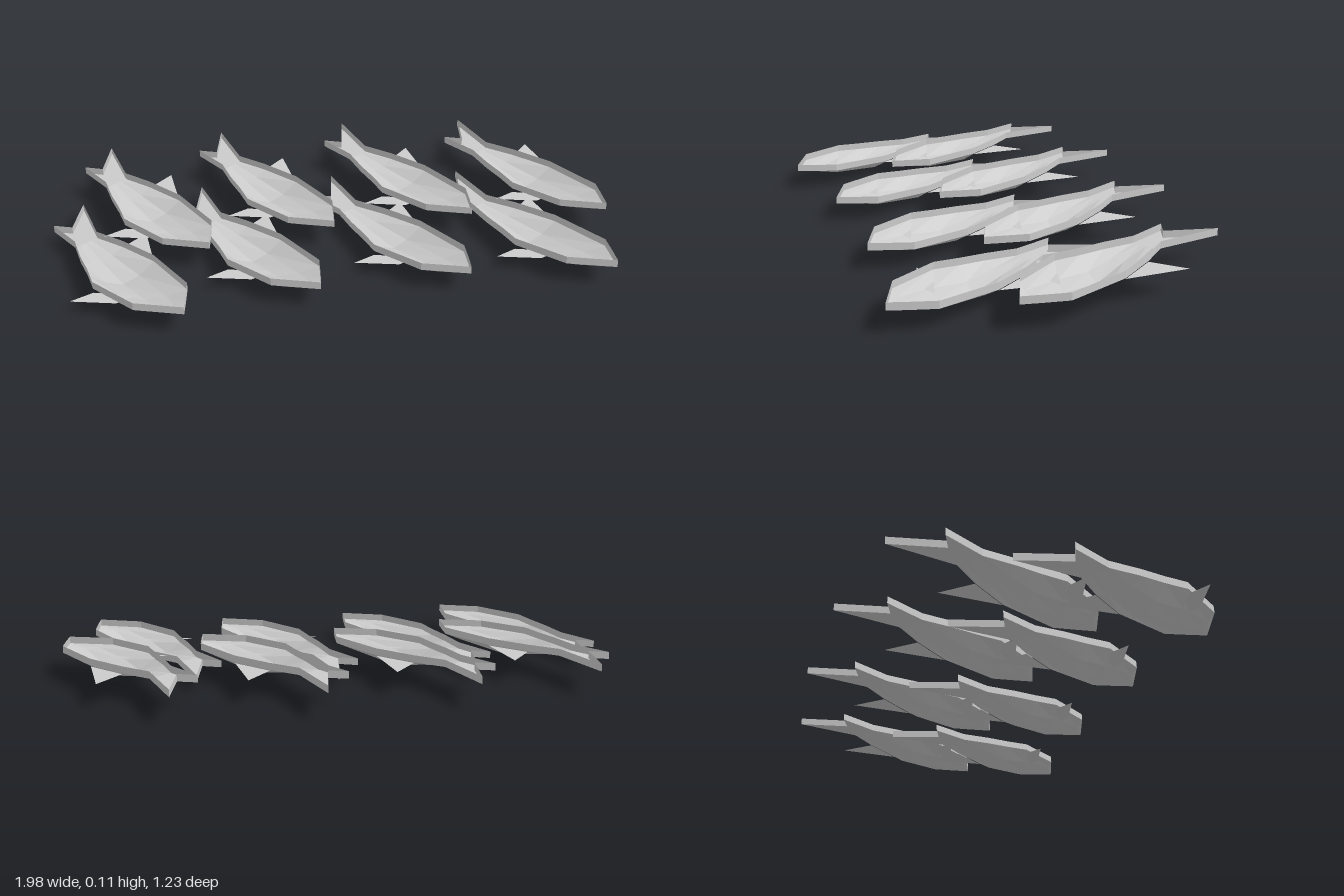
import * as THREE from 'three';

const material = new THREE.MeshStandardMaterial({ color: 0xcccccc, flatShading: true, side: THREE.DoubleSide });
const RIM = 0.025; // height of the upright rim

// Unindexed mesh from a list of corner triples
function facets(name, tris) {
  const g = new THREE.BufferGeometry();
  g.setAttribute('position', new THREE.Float32BufferAttribute(tris.flat(2), 3));
  g.computeVertexNormals();
  const m = new THREE.Mesh(g, material);
  m.name = name;
  return m;
}

const quad = (a, b, c, d) => [[a, b, c], [a, c, d]];
const at = ([x, z], y) => [x, y, z];

// Cross-sections from tail to head: left edge, keel, right edge (x, z), keel depth
const sections = [
  { l: [-0.15, -0.155], k: [-0.115, -0.187], r: [-0.075, -0.214], d: 0 },
  { l: [-0.13, -0.04], k: [-0.064, -0.08], r: [0.01, -0.128], d: 0.024 },
  { l: [-0.107, 0.053], k: [0.005, 0.043], r: [0.112, 0], d: 0.053 },
  { l: [-0.09, 0.144], k: [0.075, 0.187], r: [0.209, 0.214], d: 0.038 },
  { l: [0.032, 0.305], k: [0.128, 0.31], r: [0.198, 0.294], d: 0.014 },
];
const nose = [0.187, 0.364];
const tailLeft = [-0.225, -0.294], tailNotch = [-0.16, -0.267], tailRight = [-0.123, -0.449];

function createFish() {
  const fish = new THREE.Group();

  // Faceted belly hanging below the rim
  const rows = sections.map(({ l, k, r, d }) => {
    const mid = (e) => [k[0] + (e[0] - k[0]) * 0.5, -RIM - d * 0.68, k[1] + (e[1] - k[1]) * 0.5];
    return [at(l, -RIM), mid(l), at(k, -RIM - d), mid(r), at(r, -RIM)];
  });
  const belly = [];
  for (let i = 0; i < rows.length - 1; i++)
    for (let j = 0; j < 4; j++)
      belly.push(...quad(rows[i][j], rows[i + 1][j], rows[i + 1][j + 1], rows[i][j + 1]));
  const last = rows[rows.length - 1];
  for (let j = 0; j < 4; j++) belly.push([last[j], at(nose, -RIM), last[j + 1]]);
  fish.add(facets('belly', belly));

  // Forked tail floor
  const { l, r } = sections[0];
  fish.add(facets('tail', [[l, tailNotch, tailLeft], [l, r, tailNotch], [r, tailRight, tailNotch]]
    .map((t) => t.map((p) => at(p, -RIM)))));

  // Upright rim all round the body and tail
  const outline = [tailLeft, ...sections.map((s) => s.l), nose,
    ...sections.map((s) => s.r).reverse(), tailRight, tailNotch];
  fish.add(facets('rim', outline.flatMap((p, i) => {
    const q = outline[(i + 1) % outline.length];
    return quad(at(p, -RIM), at(q, -RIM), at(q, 0), at(p, 0));
  })));

  // Thin side fins
  fish.add(facets('dorsalFin', [[[0.01, -0.027, -0.128], [0.096, -0.03, -0.225], [0.112, -0.027, 0]]]));
  fish.add(facets('bellyFin', [
    [[-0.166, -0.045, 0.176], [-0.02, -0.045, 0.219], [-0.09, -0.04, 0.144]],
    [[-0.09, -0.04, 0.144], [-0.02, -0.045, 0.219], [0.05, -0.046, 0.18]],
  ]));
  return fish;
}

export function createModel() {
  const school = new THREE.Group();
  school.name = 'fishSchool';
  const places = [[-0.652, -0.107], [-0.208, -0.171], [0.295, -0.168], [0.781, -0.107]];
  places.forEach(([x, z], i) => {
    const back = createFish();
    back.name = `backFish${i + 1}`;
    back.position.set(x, 0.116, z);
    // Front row swims with its tail slightly lower
    const front = createFish();
    front.name = `frontFish${i + 1}`;
    front.position.set(x - 0.115, i % 3 === 0 ? 0.084 : 0.08, z + 0.356);
    front.rotation.x = -0.049;
    school.add(back, front);
  });
  return school;
}
